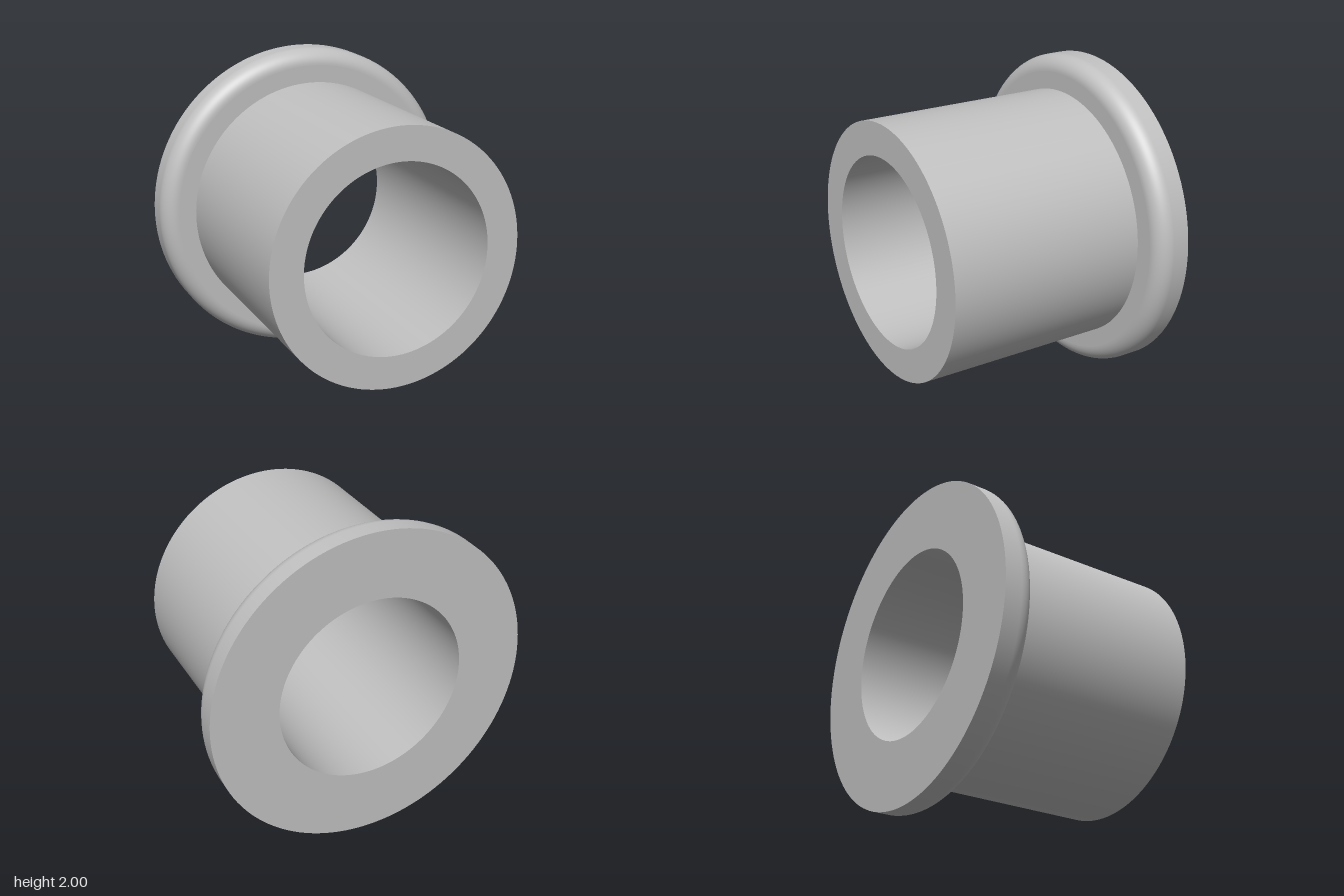
import * as THREE from 'three';

const SEGMENTS = 128;
const BACK = -0.73, FRONT = 0.73, SHOULDER = -0.525;
const BORE = 0.585, SLEEVE = 0.79, RIM = 1, FILLET = 0.1;

export function createModel() {
  const model = new THREE.Group();
  model.name = 'flangedBushing';
  const metal = new THREE.MeshStandardMaterial({ color: 0xc0c0c0 });
  metal.name = 'light grey metal';

  // Revolves a profile of [radius, z] pairs about the z axis; separate
  // surfaces keep the edges between them crisp.
  function revolve(name, profile, parent) {
    const points = profile.map(([r, z]) => new THREE.Vector2(r, z));
    const geometry = new THREE.LatheGeometry(points, SEGMENTS);
    geometry.rotateX(Math.PI / 2);
    const mesh = new THREE.Mesh(geometry, metal);
    mesh.name = name;
    parent.add(mesh);
  }

  // Sleeve: outer wall, front ring and through bore
  const sleeve = new THREE.Group();
  sleeve.name = 'sleeve';
  revolve('sleeveWall', [[SLEEVE, SHOULDER], [SLEEVE, FRONT]], sleeve);
  revolve('sleeveEnd', [[SLEEVE, FRONT], [BORE, FRONT]], sleeve);
  revolve('bore', [[BORE, FRONT], [BORE, BACK]], sleeve);

  // Flange: flat back, rim with rounded front edge, flat shoulder
  const flange = new THREE.Group();
  flange.name = 'flange';
  const rim = [[RIM, BACK]];
  for (let i = 0; i <= 16; i++) {
    const a = (i / 16) * Math.PI / 2;
    rim.push([RIM - FILLET + FILLET * Math.cos(a), SHOULDER - FILLET + FILLET * Math.sin(a)]);
  }
  revolve('flangeBack', [[BORE, BACK], [RIM, BACK]], flange);
  revolve('flangeRim', rim, flange);
  revolve('flangeShoulder', [[RIM - FILLET, SHOULDER], [SLEEVE, SHOULDER]], flange);

  model.add(sleeve, flange);
  sleeve.position.y = flange.position.y = RIM;
  return model;
}
